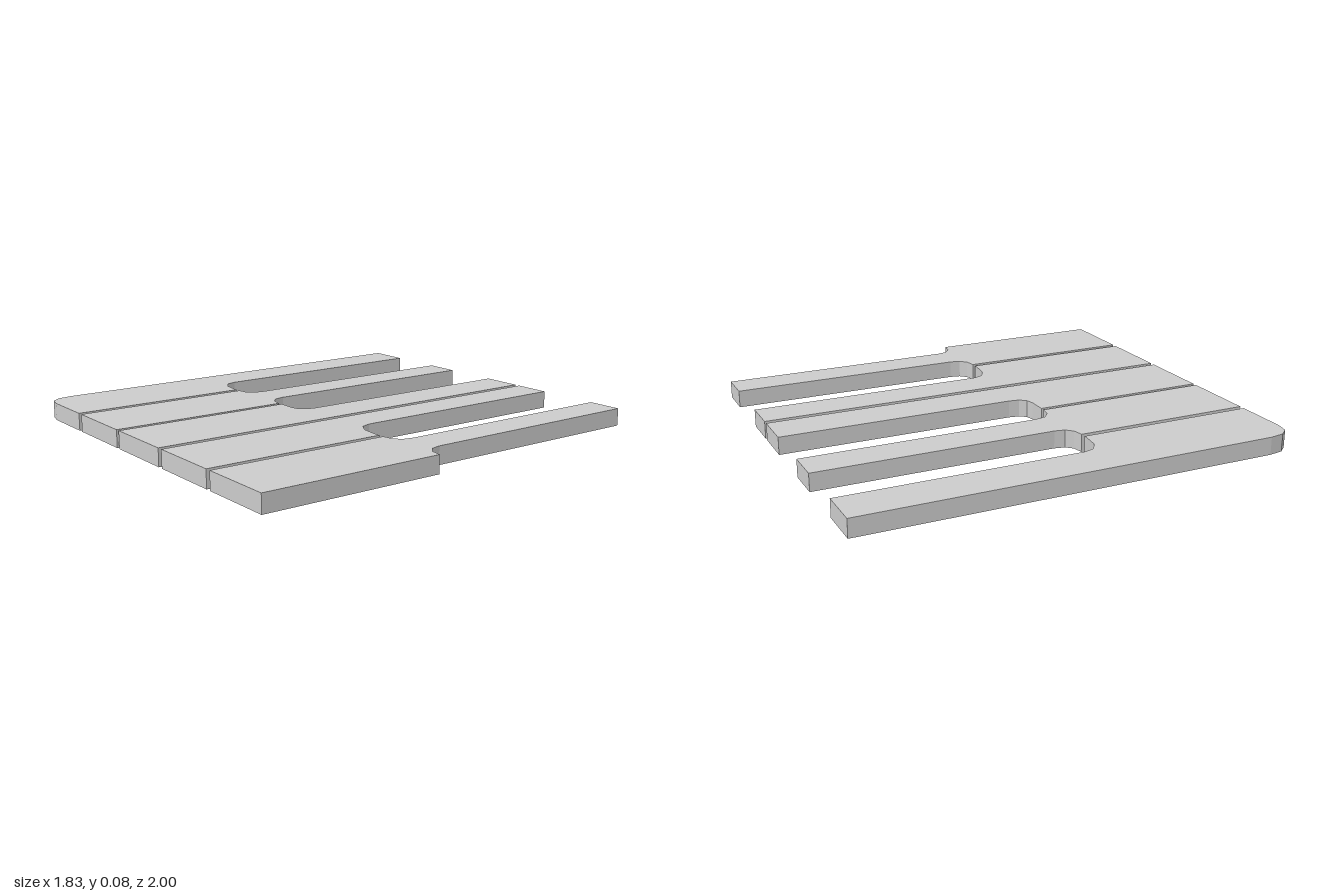
import * as THREE from 'three';

const HEIGHT = 0.08;
const BACK = 1, FRONT = -1, SHOULDER = -0.173; // outline y is -z

// Outline of one key: wide front body, narrow neck, filleted shoulders
function keyShape({ body: [x0, x1], neck: [n0, n1], reach = 0.12, corner = 0 }) {
  const s = new THREE.Shape();
  const fillet = 0.085;
  if (corner) {
    s.moveTo(x0, FRONT + corner);
    s.quadraticCurveTo(x0, FRONT, x0 + corner * 0.85, FRONT);
  } else {
    s.moveTo(x0, FRONT);
  }
  s.lineTo(x1, FRONT);
  if (n1 < x1) {
    const r = Math.min(reach, x1 - n1);
    s.lineTo(x1, SHOULDER);
    if (r < x1 - n1) s.lineTo(n1 + r, SHOULDER);
    s.quadraticCurveTo(n1, SHOULDER, n1, SHOULDER + fillet);
  }
  s.lineTo(n1, BACK);
  s.lineTo(n0, BACK);
  if (n0 > x0) {
    const r = Math.min(reach, n0 - x0);
    s.lineTo(n0, SHOULDER + fillet);
    s.quadraticCurveTo(n0, SHOULDER, n0 - r, SHOULDER);
    if (r < n0 - x0) s.lineTo(x0, SHOULDER);
  }
  s.closePath();
  return s;
}

const KEYS = [
  { body: [-0.915, -0.565], neck: [-0.915, -0.72], reach: 0.14, corner: 0.12 },
  { body: [-0.54, -0.195], neck: [-0.455, -0.29] },
  { body: [-0.175, 0.17], neck: [-0.02, 0.17], reach: 0.07 },
  { body: [0.195, 0.54], neck: [0.195, 0.365], reach: 0.15 },
  { body: [0.565, 0.912], neck: [0.655, 0.815] },
];

export function createModel() {
  const group = new THREE.Group();
  group.name = 'keys';
  const material = new THREE.MeshStandardMaterial({ color: 0xcccccc, flatShading: true });
  KEYS.forEach((key, i) => {
    const geometry = new THREE.ExtrudeGeometry(keyShape(key), {
      depth: HEIGHT, bevelEnabled: false, curveSegments: 3,
    });
    geometry.rotateX(-Math.PI / 2); // lay flat, extrusion points up
    const mesh = new THREE.Mesh(geometry, material);
    mesh.name = `key${i + 1}`;
    group.add(mesh);
  });
  return group;
}
